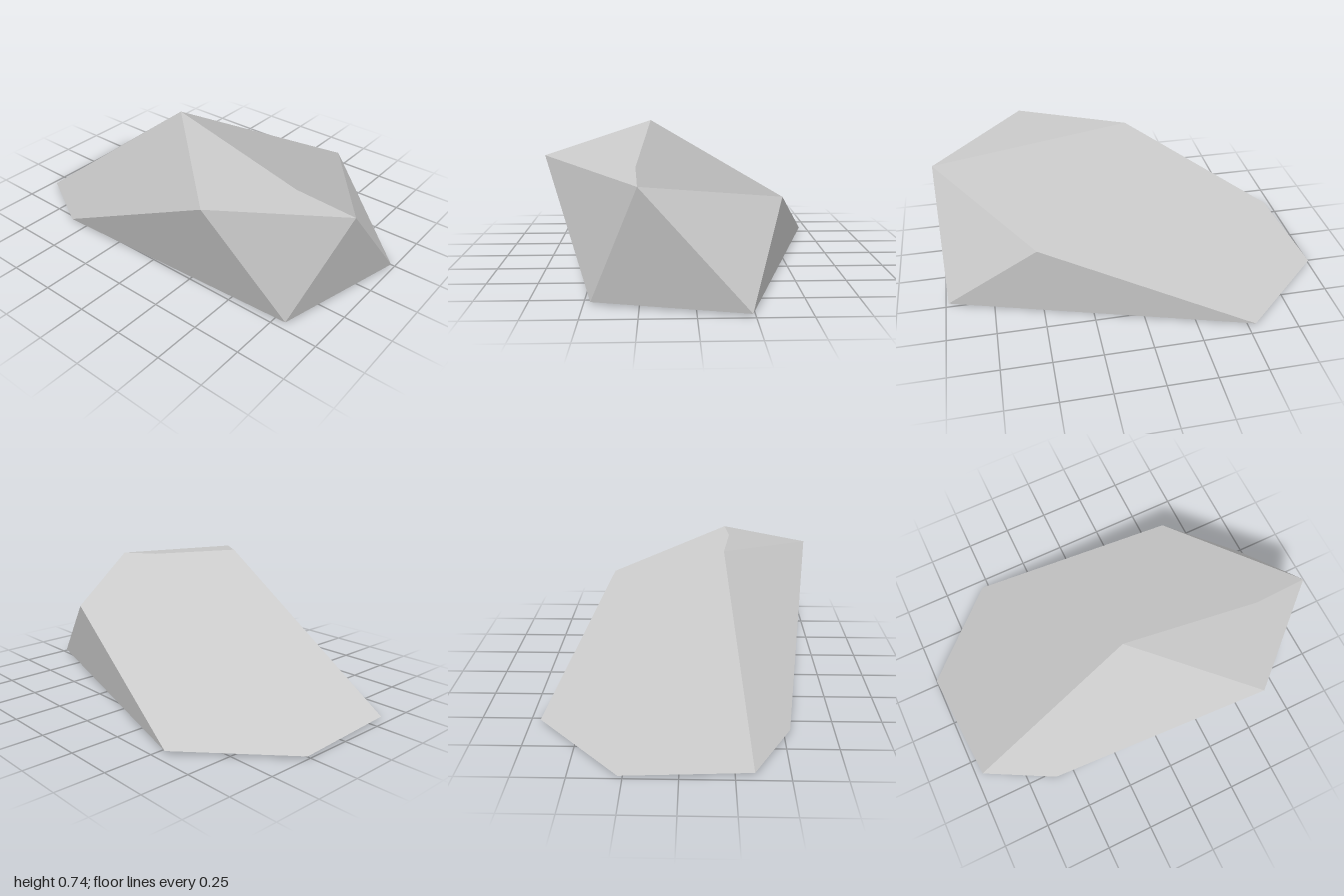
import * as THREE from 'three';

// Corner points of the boulder
const corners = {
  A: [-1, 0.015, -0.27], B: [-0.537, 0.015, -0.7], C: [0.517, 0.423, -0.424],
  D: [0.985, 0.012, -0.237], E: [1, 0.565, 0.247], F: [0.812, 0.012, 0.468],
  G: [0.495, 0.625, 0.695], H: [-0.6, 0.011, 0.532], I: [-0.962, 0.013, 0.338],
  J: [-0.045, 0.737, 0.21], K: [0.7, 0.598, 0.265], O: [0, 0, 0],
};

// Each facet is one or more triangle fans sharing a single flat normal
const facets = [
  'JKCBAI KEC', // broad sloping top
  'GEKJ',       // crown
  'HGJI',       // front slope
  'HFG',        // front undercut
  'FEG', 'FDE', // left side
  'DCE', 'DBC', // back
  'OABDFHIA',   // slightly bulging underside
];

function facetedGeometry() {
  const positions = [], normals = [];
  for (const facet of facets) {
    const triangles = [];
    for (const fan of facet.split(' ')) {
      const p = [...fan].map((k) => new THREE.Vector3(...corners[k]));
      for (let i = 1; i < p.length - 1; i++) triangles.push([p[0], p[i], p[i + 1]]);
    }
    // Area-weighted normal of the whole facet
    const normal = new THREE.Vector3();
    for (const [a, b, c] of triangles) {
      normal.add(b.clone().sub(a).cross(c.clone().sub(a)));
    }
    normal.normalize();
    for (const v of triangles.flat()) {
      positions.push(v.x, v.y, v.z);
      normals.push(normal.x, normal.y, normal.z);
    }
  }
  const geometry = new THREE.BufferGeometry();
  geometry.setAttribute('position', new THREE.Float32BufferAttribute(positions, 3));
  geometry.setAttribute('normal', new THREE.Float32BufferAttribute(normals, 3));
  return geometry;
}

export function createModel() {
  const stone = new THREE.MeshStandardMaterial({ color: 0xc9c9c9 });
  stone.name = 'stone grey';

  const boulder = new THREE.Mesh(facetedGeometry(), stone);
  boulder.name = 'boulder';

  const group = new THREE.Group();
  group.name = 'rock';
  group.add(boulder);
  return group;
}
